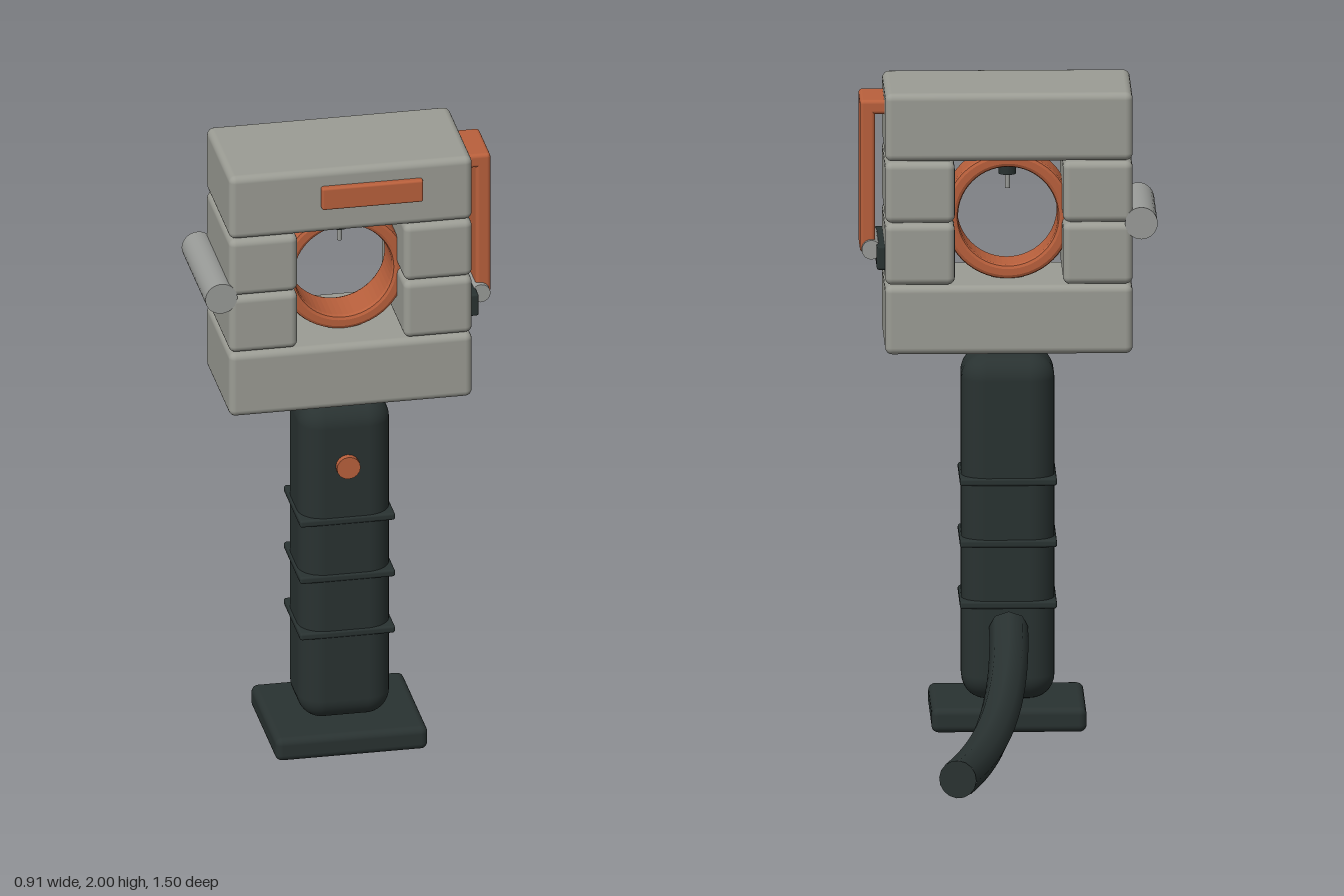
import * as THREE from 'three';
import { RoundedBoxGeometry } from 'three/addons/geometries/RoundedBoxGeometry.js';

function material(name, color, flatShading = false) {
  const m = new THREE.MeshStandardMaterial({ color });
  m.name = name;
  m.flatShading = flatShading;
  return m;
}

export function createModel() {
  const model = new THREE.Group();
  model.name = 'handheldDevice';
  const shell = material('shell grey', 0x9b9c94);
  const metal = material('metal grey', 0x999b98);
  const rubber = material('dark rubber', 0x293231);
  const orange = material('burnt orange', 0xb9603c);
  const cableRubber = rubber;

  function add(name, geometry, mat, x = 0, y = 0, z = 0) {
    const mesh = new THREE.Mesh(geometry, mat);
    mesh.name = name;
    mesh.position.set(x, y, z);
    model.add(mesh);
    return mesh;
  }
  // Rounded box between two limits on each axis
  function box(name, mat, [x0, x1], [y0, y1], [z0, z1], radius, segments = 3) {
    return add(name, new RoundedBoxGeometry(x1 - x0, y1 - y0, z1 - z0, segments, radius), mat,
      (x0 + x1) / 2, (y0 + y1) / 2, (z0 + z1) / 2);
  }
  // Cylinder lying along z
  function rod(name, mat, radius, length, sides, x, y, z) {
    return add(name, new THREE.CylinderGeometry(radius, radius, length, sides).rotateX(Math.PI / 2), mat, x, y, z);
  }

  // Head: two slabs with a pair of stacked blocks on each side of the opening
  const depth = [0.352, 0.73];
  box('headTop', shell, [-0.38, 0.38], [1.787, 2], depth, 0.022);
  box('headBottom', shell, [-0.38, 0.38], [1.182, 1.398], depth, 0.022);
  for (const side of [[-0.38, -0.166], [0.166, 0.38]]) {
    box('lowerSideBlock', shell, side, [1.4, 1.592], depth, 0.022);
    box('upperSideBlock', shell, side, [1.594, 1.785], depth, 0.022);
  }

  // Bevelled ring in the opening
  const annulus = new THREE.Shape().absarc(0, 0, 0.185, 0, Math.PI * 2);
  annulus.holes.push(new THREE.Path().absarc(0, 0, 0.165, 0, Math.PI * 2, true));
  const ring = new THREE.ExtrudeGeometry(annulus, {
    depth: 0.12, bevelEnabled: true, bevelSize: 0.012, bevelThickness: 0.014, bevelSegments: 2, curveSegments: 28
  }).translate(0, 0, -0.06);
  add('openingRing', ring, orange, 0, 1.592, 0.541);

  // Pin hanging inside the ring
  add('pinHolder', new THREE.CylinderGeometry(0.027, 0.027, 0.03, 16), rubber, 0, 1.727, 0.541);
  add('pin', new THREE.CylinderGeometry(0.008, 0.008, 0.05, 10), metal, 0, 1.692, 0.541);

  // Roller on the right side and label plate on the front
  rod('sideRoller', metal, 0.05, 0.376, 28, -0.406, 1.592, 0.541);
  box('frontPlate', orange, [-0.095, 0.222], [1.873, 1.947], [0.72, 0.75], 0.007);

  // Hinged flap on the left side
  box('flap', orange, [0.408, 0.455], [1.485, 1.962], [0.448, 0.638], 0.012);
  box('flapTop', orange, [0.37, 0.45], [1.917, 1.962], [0.448, 0.638], 0.012);
  box('flapBracket', rubber, [0.37, 0.405], [1.443, 1.517], [0.385, 0.7], 0.007);
  rod('flapHinge', metal, 0.03, 0.224, 18, 0.42, 1.497, 0.543);

  // Grip with bands, button and foot
  box('grip', rubber, [-0.143, 0.143], [0.08, 1.16], [0.415, 0.67], 0.076, 5);
  for (const y of [0.385, 0.577, 0.77]) {
    box('gripBand', rubber, [-0.149, 0.149], [y - 0.012, y + 0.012], [0.41, 0.675], 0.008, 2);
  }
  rod('button', orange, 0.037, 0.04, 16, 0, 0.957, 0.67);
  box('foot', rubber, [-0.238, 0.238], [0, 0.077], [0.335, 0.747], 0.022);

  // Trailing cable with closed ends
  const path = new THREE.QuadraticBezierCurve3(
    new THREE.Vector3(0, 0.318, 0.41),
    new THREE.Vector3(0, 0.075, -0.07),
    new THREE.Vector3(0.187, 0.08, -0.734));
  add('cable', new THREE.TubeGeometry(path, 24, 0.06, 8), cableRubber);
  for (const t of [0, 1]) {
    const cap = add('cableEnd', new THREE.CircleGeometry(0.059, 16), cableRubber);
    cap.position.copy(path.getPoint(t));
    const outward = path.getTangent(t).multiplyScalar(t ? 1 : -1);
    cap.quaternion.setFromUnitVectors(new THREE.Vector3(0, 0, 1), outward);
  }
  return model;
}
